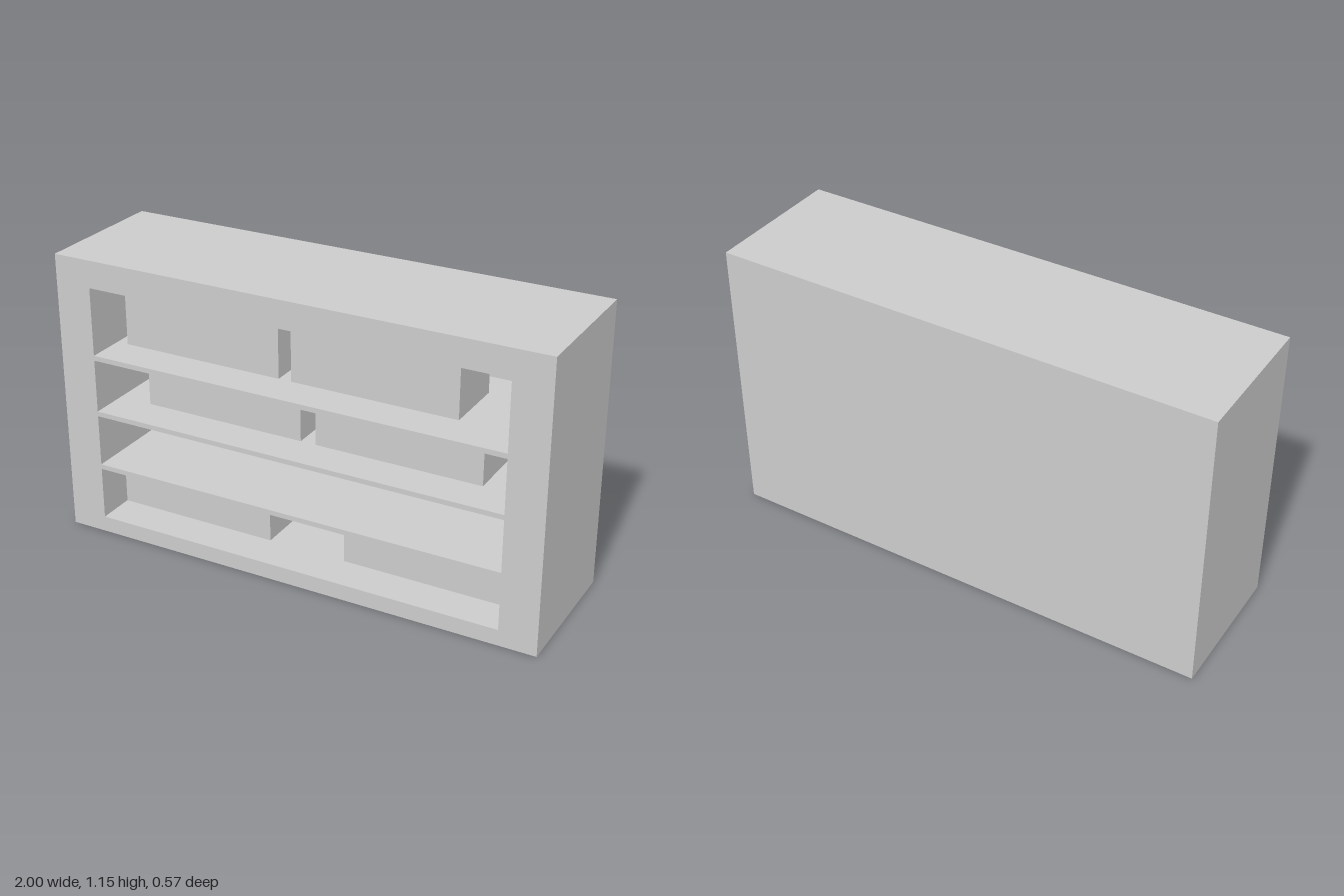
import * as THREE from 'three';

const W = 2, H = 1.15, D = 0.57, FRONT = D / 2;
const BACK_THICKNESS = 0.02;
const OPEN_X = 0.85; // half width of every compartment

// compartments, bottom to top: floor, ceiling, and the boxes standing inside
const BOX_W = 0.675, BOX_D = 0.26;
const ROWS = [
  { name: 'bottom', y0: 0.065, y1: 0.28, boxH: 0.2, boxes: [-0.512, 0.487] },
  { name: 'lowerMiddle', y0: 0.3, y1: 0.51, boxH: 0, boxes: [] },
  { name: 'upperMiddle', y0: 0.53, y1: 0.745, boxH: 0.2, boxes: [-0.373, 0.365] },
  { name: 'top', y0: 0.765, y1: 1.04, boxH: 0.235, boxes: [-0.465, 0.263] },
];

const material = new THREE.MeshStandardMaterial({ color: 0xcccccc });

function addMesh(parent, name, geometry) {
  const mesh = new THREE.Mesh(geometry, material);
  mesh.name = name;
  parent.add(mesh);
}

// box with its +z face left out; inward = faces seen from the inside
function openBox(w, h, d, inward) {
  const geo = new THREE.BoxGeometry(w, h, d);
  const index = Array.from(geo.index.array);
  index.splice(24, 6);
  if (inward) index.reverse();
  geo.setIndex(index);
  geo.clearGroups();
  geo.computeVertexNormals();
  return geo;
}

function rectangle(path, x0, y0, x1, y1) {
  return path.moveTo(x0, y0).lineTo(x1, y0).lineTo(x1, y1).lineTo(x0, y1).closePath();
}

export function createModel() {
  const model = new THREE.Group();
  model.name = 'shelfCabinet';

  // outer top, bottom, sides and back
  addMesh(model, 'cabinetShell', openBox(W, H, D, false).translate(0, H / 2, 0));

  // front frame with the four openings
  const front = rectangle(new THREE.Shape(), -W / 2, 0, W / 2, H);
  for (const { y0, y1 } of ROWS) {
    front.holes.push(rectangle(new THREE.Path(), -OPEN_X, y0, OPEN_X, y1));
  }
  addMesh(model, 'frontFrame', new THREE.ShapeGeometry(front).translate(0, 0, FRONT));

  // compartment linings and the boxes on their floors
  const depth = D - BACK_THICKNESS;
  for (const { name, y0, y1, boxH, boxes } of ROWS) {
    const lining = openBox(2 * OPEN_X, y1 - y0, depth, true);
    addMesh(model, name + 'Compartment', lining.translate(0, (y0 + y1) / 2, FRONT - depth / 2));
    boxes.forEach((x, i) => {
      const box = new THREE.BoxGeometry(BOX_W, boxH, BOX_D);
      addMesh(model, name + (i ? 'LeftBox' : 'RightBox'), box.translate(x, y0 + boxH / 2, 0));
    });
  }
  return model;
}
